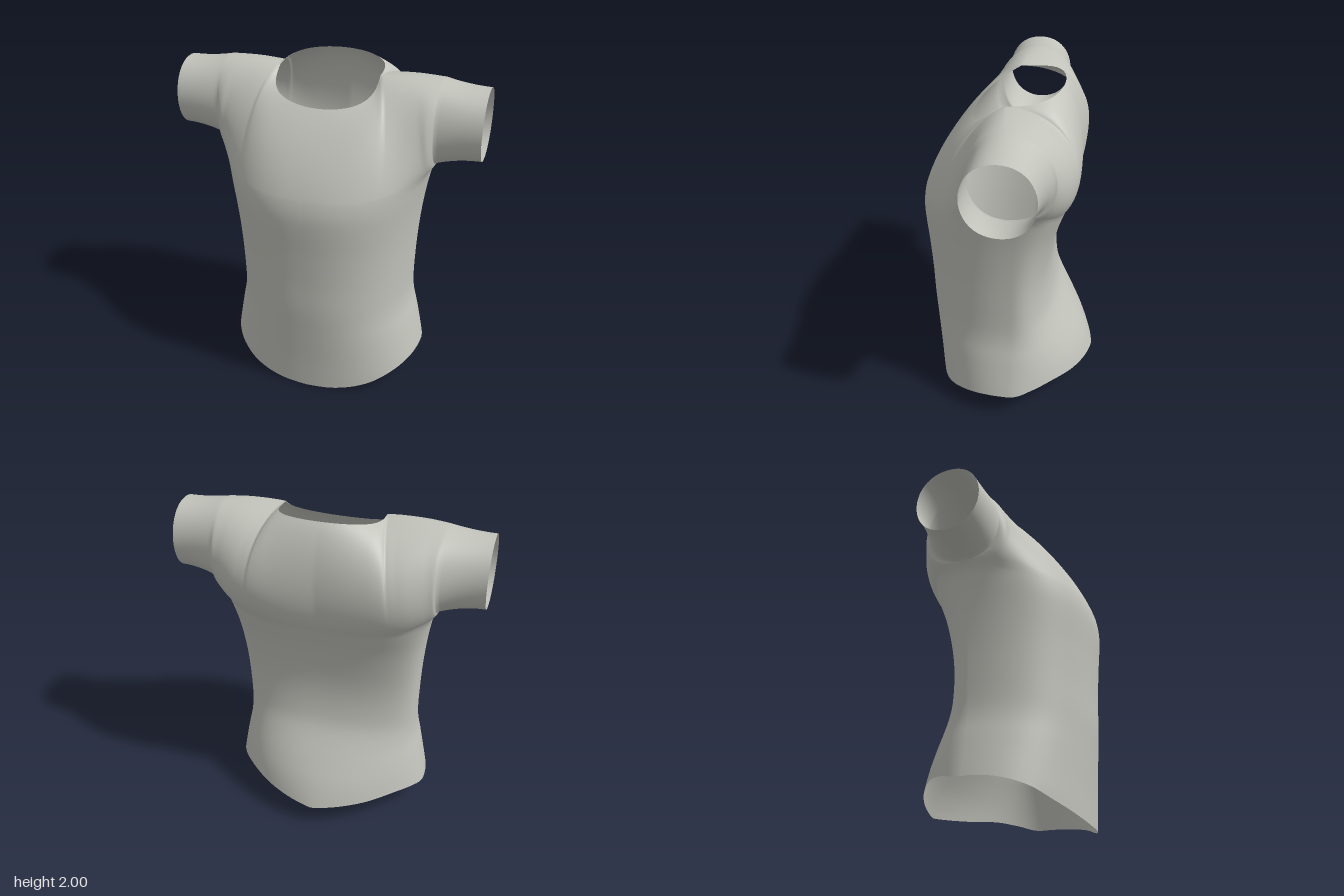
import * as THREE from 'three';
import { mergeVertices } from 'three/addons/utils/BufferGeometryUtils.js';

// Smooth interpolation through [key, value] pairs
function at(table, v) {
  const n = table.length - 1;
  if (v <= table[0][0]) return table[0][1];
  if (v >= table[n][0]) return table[n][1];
  let i = 0;
  while (v > table[i + 1][0]) i++;
  const slope = (k) => {
    const a = table[Math.max(0, k - 1)], b = table[Math.min(n, k + 1)];
    return (b[1] - a[1]) / (b[0] - a[0]);
  };
  const [x0, y0] = table[i], [x1, y1] = table[i + 1];
  const h = x1 - x0, t = (v - x0) / h, t2 = t * t, t3 = t2 * t;
  return (2 * t3 - 3 * t2 + 1) * y0 + (t3 - 2 * t2 + t) * h * slope(i)
    + (3 * t2 - 2 * t3) * y1 + (t3 - t2) * h * slope(i + 1);
}

const bezier = (a, b, c, d, t) => {
  const m = 1 - t;
  return m * m * m * a + 3 * m * m * t * b + 3 * m * t * t * c + t * t * t * d;
};
const mix = (a, b, t) => a + (b - a) * t;

// Torso half width by height, side seam depth and armhole position
const WIDTH = [[0.1, 0.635], [0.2, 0.617], [0.4, 0.575], [0.5, 0.552], [0.6, 0.542], [0.8, 0.545],
  [1, 0.555], [1.2, 0.575], [1.36, 0.602], [1.43, 0.622], [1.47, 0.65]];
const SEAM_Z = -0.05, PIT_X = 0.65, CUFF_X = 0.91, NECK_X = 0.3;

// Panels: depth, squareness and hem line; the shoulder handles are keyed by column,
// from 0 at the middle through 0.5 at the neck corner to 1 at the armhole
const FRONT = {
  sign: 1,
  depth: [[0, 0.46], [0.2, 0.47], [0.4, 0.485], [0.6, 0.5], [0.8, 0.505], [1, 0.515], [1.25, 0.53], [1.36, 0.515], [1.47, 0.475]],
  power: [[0, 2.2], [1.4, 2.35]],
  hem: [[0, 0], [0.3, 0.012], [0.6, 0.05], [0.8, 0.105], [1, 0.16]],
  neckZ: 0.23, neckDy: -0.15, neckPow: 0.6,
  lowY: [[0, 0.19], [0.6, 0.15], [0.8, 0.1], [0.9, 0.05], [1, 0]],
  lowZ: [[0, -0.06], [0.4, -0.045], [0.6, -0.01], [0.8, 0.12], [0.9, 0.22], [1, 0.29]],
  topX: [[0, 0], [0.25, 0.06], [0.4, 0.09], [0.5, 0.085], [0.75, 0.03], [1, 0]],
  topY: [[0, 1.71], [0.25, 1.75], [0.4, 1.83], [0.5, 1.92], [0.75, 1.955], [1, 1.957]],
  topZ: [[0, 0.33], [0.25, 0.3], [0.4, 0.24], [0.5, 0.19], [0.75, 0.18], [1, 0.21]],
};
const BACK = {
  sign: -1,
  depth: [[0.1, -0.535], [0.2, -0.505], [0.3, -0.465], [0.4, -0.412], [0.6, -0.3], [0.7, -0.27], [0.85, -0.255], [1, -0.265], [1.2, -0.305], [1.4, -0.37], [1.5, -0.39]],
  power: [[0.1, 1.7], [0.3, 1.9], [0.7, 2.4], [1.4, 3.2]],
  hem: [[0, 0.135], [0.5, 0.18], [0.78, 0.205], [0.93, 0.19], [1, 0.16]],
  neckZ: -0.29, neckDy: 0.04, neckPow: 1,
  lowY: [[0, 0.19], [0.6, 0.15], [0.8, 0.1], [0.9, 0.05], [1, 0]],
  lowZ: [[0, -0.09], [0.5, -0.145], [0.6, -0.16], [0.8, -0.2], [0.9, -0.25], [1, -0.35]],
  topX: [[0, 0], [0.25, 0.04], [0.4, 0.07], [0.5, 0.075], [0.75, 0.03], [1, 0]],
  topY: [[0, 1.88], [0.25, 1.9], [0.4, 1.925], [0.5, 1.945], [0.75, 1.957], [1, 1.957]],
  topZ: [[0, -0.4], [0.25, -0.415], [0.4, -0.43], [0.5, -0.435], [0.6, -0.41], [0.8, -0.38], [1, -0.36]],
};

const TORSO_ROWS = 40, YOKE_ROWS = 28, COLUMNS = 60, SLEEVE_COLS = 12;

const across = (u) => Math.sin(u * Math.PI / 2);
const chestLine = (u) => 1.36 + 0.11 * Math.pow(across(u), 4);

function torsoPoint(panel, u, y) {
  const s = across(u), n = at(panel.power, y);
  const bulge = Math.pow(Math.max(0, 1 - Math.pow(s, n)), 1 / n);
  return [s * at(WIDTH, y), y, SEAM_Z + (at(panel.depth, y) - SEAM_Z) * bulge];
}

// End of a column: on the neck edge, or on the shoulder ridge beyond it
function topPoint(panel, u) {
  if (u < 0.5) {
    const c = Math.cos(u * Math.PI);
    return [NECK_X * Math.sin(u * Math.PI), 1.96 + panel.neckDy * Math.pow(c, panel.neckPow), panel.neckZ * Math.pow(c, 0.6)];
  }
  const v = u * 2 - 1;
  return [mix(NECK_X, PIT_X, v), 1.96 + 0.008 * Math.sin(v * Math.PI), SEAM_Z * v];
}

// Arch from the chest line over the shoulder, or up to the neck edge
function yokePoint(panel, u, t) {
  const [x0, y0, z0] = torsoPoint(panel, u, chestLine(u));
  const [x3, y3, z3] = topPoint(panel, u);
  return [
    bezier(x0, x0, x3 + at(panel.topX, u), x3, t),
    bezier(y0, y0 + at(panel.lowY, u), at(panel.topY, u), y3, t),
    bezier(z0, z0 + at(panel.lowZ, u), at(panel.topZ, u), z3, t),
  ];
}

// Sleeve: the armhole arch eased into a round cuff
function sleevePoint(panel, q, t) {
  const [, y, z] = yokePoint(panel, 1, t);
  const reach = SEAM_Z + panel.sign * 0.263;
  const cuffY = bezier(1.517, 1.517, 1.932, 1.932, t);
  const cuffZ = bezier(SEAM_Z, reach, reach, SEAM_Z, t);
  const ease = 1 - (1 - q) ** 2;
  return [mix(PIT_X, CUFF_X, q), mix(y, cuffY, ease), mix(z, cuffZ, ease)];
}

function buildShirt() {
  const positions = [], indices = [];
  const add = (side, [x, y, z]) => positions.push(side * x, y, z) / 3 - 1;

  // Stitch neighbouring columns; the flip keeps faces outward
  const stitch = (columns, flip) => {
    for (let i = 0; i + 1 < columns.length; i++) {
      for (let j = 0; j + 1 < columns[i].length; j++) {
        const a = columns[i][j], b = columns[i + 1][j], c = columns[i + 1][j + 1], d = columns[i][j + 1];
        if (flip) indices.push(a, c, b, a, d, c);
        else indices.push(a, b, c, a, c, d);
      }
    }
  };

  for (const panel of [FRONT, BACK]) {
    for (const side of [1, -1]) {
      const flip = side * panel.sign < 0;
      const body = [], sleeve = [];

      // Half of the panel, from hem to shoulder
      for (let i = 0; i <= COLUMNS; i++) {
        const u = i / COLUMNS, column = [];
        const bottom = at(panel.hem, across(u));
        for (let j = 0; j < TORSO_ROWS; j++) {
          column.push(add(side, torsoPoint(panel, u, mix(bottom, chestLine(u), j / TORSO_ROWS))));
        }
        for (let j = 0; j <= YOKE_ROWS; j++) column.push(add(side, yokePoint(panel, u, j / YOKE_ROWS)));
        body.push(column);
      }
      stitch(body, flip);

      // Half of the sleeve
      for (let i = 0; i <= SLEEVE_COLS; i++) {
        const column = [];
        for (let j = 0; j <= YOKE_ROWS; j++) column.push(add(side, sleevePoint(panel, i / SLEEVE_COLS, j / YOKE_ROWS)));
        sleeve.push(column);
      }
      stitch(sleeve, flip);
    }
  }

  // Weld the seams so that the cloth shades smoothly
  let geometry = new THREE.BufferGeometry();
  geometry.setAttribute('position', new THREE.Float32BufferAttribute(positions, 3));
  geometry.setIndex(indices);
  geometry = mergeVertices(geometry, 1e-4);
  geometry.computeVertexNormals();
  return geometry;
}

export function createModel() {
  const cloth = new THREE.MeshStandardMaterial({ color: 0xc2c3bb, side: THREE.DoubleSide });
  cloth.name = 'greyCloth';
  const shirt = new THREE.Mesh(buildShirt(), cloth);
  shirt.name = 'shirt';
  const model = new THREE.Group();
  model.name = 'shortSleevedShirt';
  model.add(shirt);
  return model;
}
